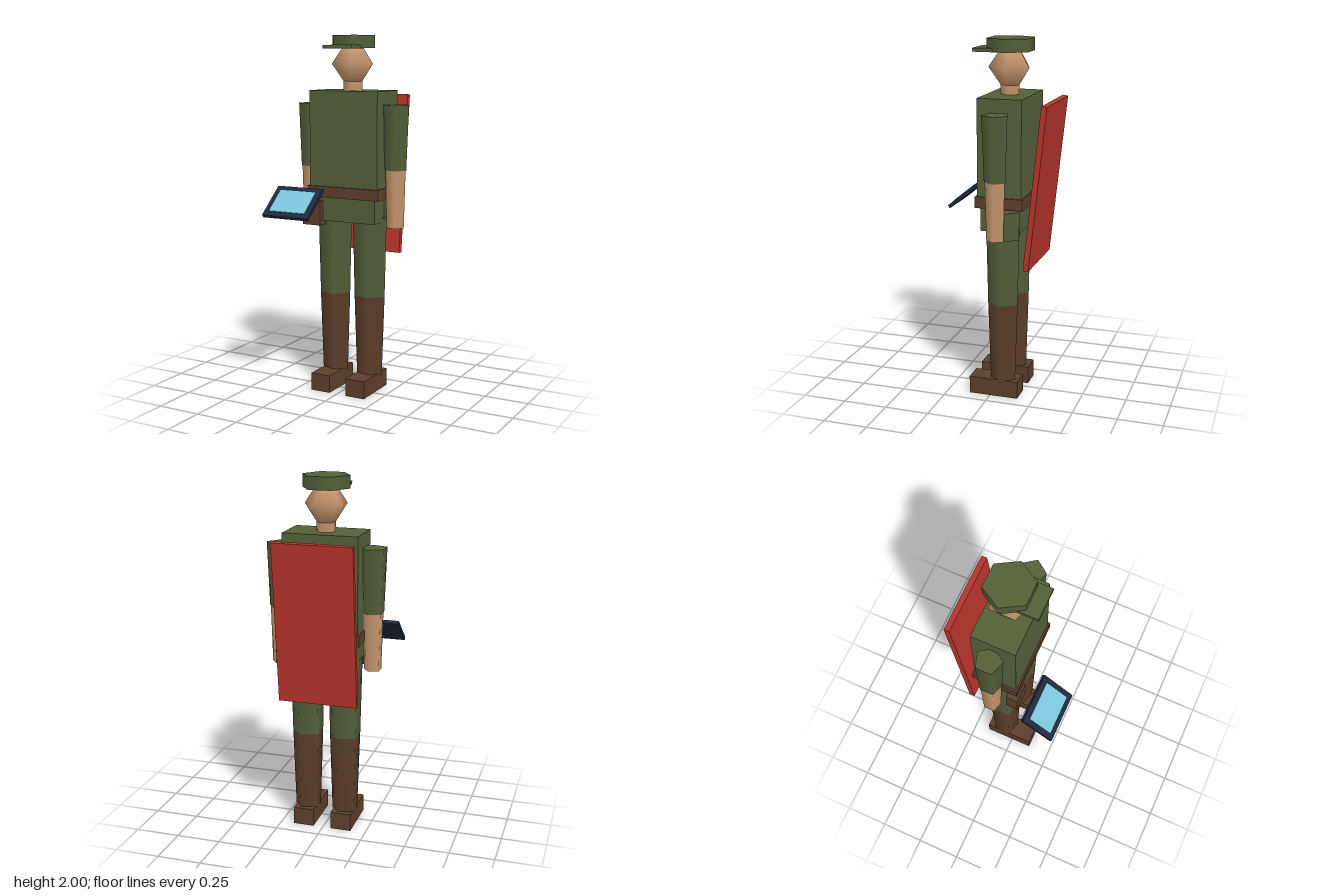
import * as THREE from 'three';

const material = (name, color) => {
  const m = new THREE.MeshStandardMaterial({ color });
  m.name = name;
  return m;
};

export function createModel() {
  const cloth = material('olive cloth', 0x556039);
  const leather = material('brown leather', 0x5c3f2b);
  const skin = material('skin', 0xc8986f);
  const red = material('red panel', 0xb8352c);
  const frame = material('navy frame', 0x1f2a3d);
  const glass = material('screen blue', 0x7ec6dc);

  const model = new THREE.Group();
  model.name = 'soldier';
  // Body axis
  const X = 0.005, Z = -0.067;

  const add = (name, geometry, mat, x, y, z, parent = model) => {
    const mesh = new THREE.Mesh(geometry, mat);
    mesh.name = name;
    mesh.position.set(x, y, z);
    parent.add(mesh);
    return mesh;
  };
  const box = (name, mat, w, h, d, x, y, z, parent) =>
    add(name, new THREE.BoxGeometry(w, h, d), mat, x, y, z, parent);
  // Low-sided tapered limb between two heights, first corner towards +x
  const limb = (name, mat, x, z, y0, y1, r0, r1, sides = 5) =>
    add(name, new THREE.CylinderGeometry(r1, r0, y1 - y0, sides).rotateY(Math.PI / 2),
      mat, x, (y0 + y1) / 2, z);

  // Trunk
  box('torso', cloth, 0.42, 0.56, 0.245, X, 1.42, Z);
  box('belt', leather, 0.443, 0.062, 0.265, X, 1.14, Z);
  box('hips', cloth, 0.38, 0.15, 0.22, X, 1.05, Z);

  // Arms and legs
  for (const [side, s] of [['left', 1], ['right', -1]]) {
    const ax = X + s * 0.265, lx = X + s * 0.11;
    limb(side + 'Sleeve', cloth, ax, Z, 1.27, 1.625, 0.062, 0.075);
    limb(side + 'Forearm', skin, ax, Z, 0.95, 1.27, 0.05, 0.058);
    limb(side + 'Trouser', cloth, lx, Z, 0.55, 1.0, 0.09, 0.1);
    limb(side + 'Boot', leather, lx, Z, 0.09, 0.55, 0.075, 0.09);
    box(side + 'Foot', leather, 0.118, 0.1, 0.282, lx, 0.05, -0.02);
  }

  // Neck and faceted head
  limb('neck', skin, X, Z, 1.69, 1.76, 0.055, 0.055);
  const headProfile = [[0, 1.725], [0.055, 1.75], [0.12, 1.845], [0.06, 1.935], [0, 1.96]]
    .map(([r, y]) => new THREE.Vector2(r, y));
  add('head', new THREE.LatheGeometry(headProfile, 5).rotateY(Math.PI / 2), skin, X, 0, Z);

  // Cap
  limb('cap', cloth, X, Z, 1.93, 2.0, 0.132, 0.132, 6);
  box('capVisor', cloth, 0.176, 0.02, 0.14, X, 1.937, 0.051);

  // Belt gear
  box('pouch', leather, 0.11, 0.14, 0.067, -0.185, 1.02, 0.043);
  limb('canteen', cloth, 0.213, -0.123, 0.95, 1.105, 0.065, 0.07);

  // Leaning panel behind the back
  box('backPanel', red, 0.443, 0.9, 0.031, X, 1.225, -0.267).rotation.x = -0.105;

  // Tilted tablet with thin screen plate
  const tablet = new THREE.Group();
  tablet.name = 'tablet';
  tablet.position.set(-0.205, 1.093, 0.239);
  tablet.rotation.x = 0.69;
  model.add(tablet);
  box('tabletFrame', frame, 0.286, 0.02, 0.22, 0, 0, 0, tablet);
  box('tabletScreen', glass, 0.224, 0.004, 0.157, 0, 0.011, 0, tablet);

  return model;
}
